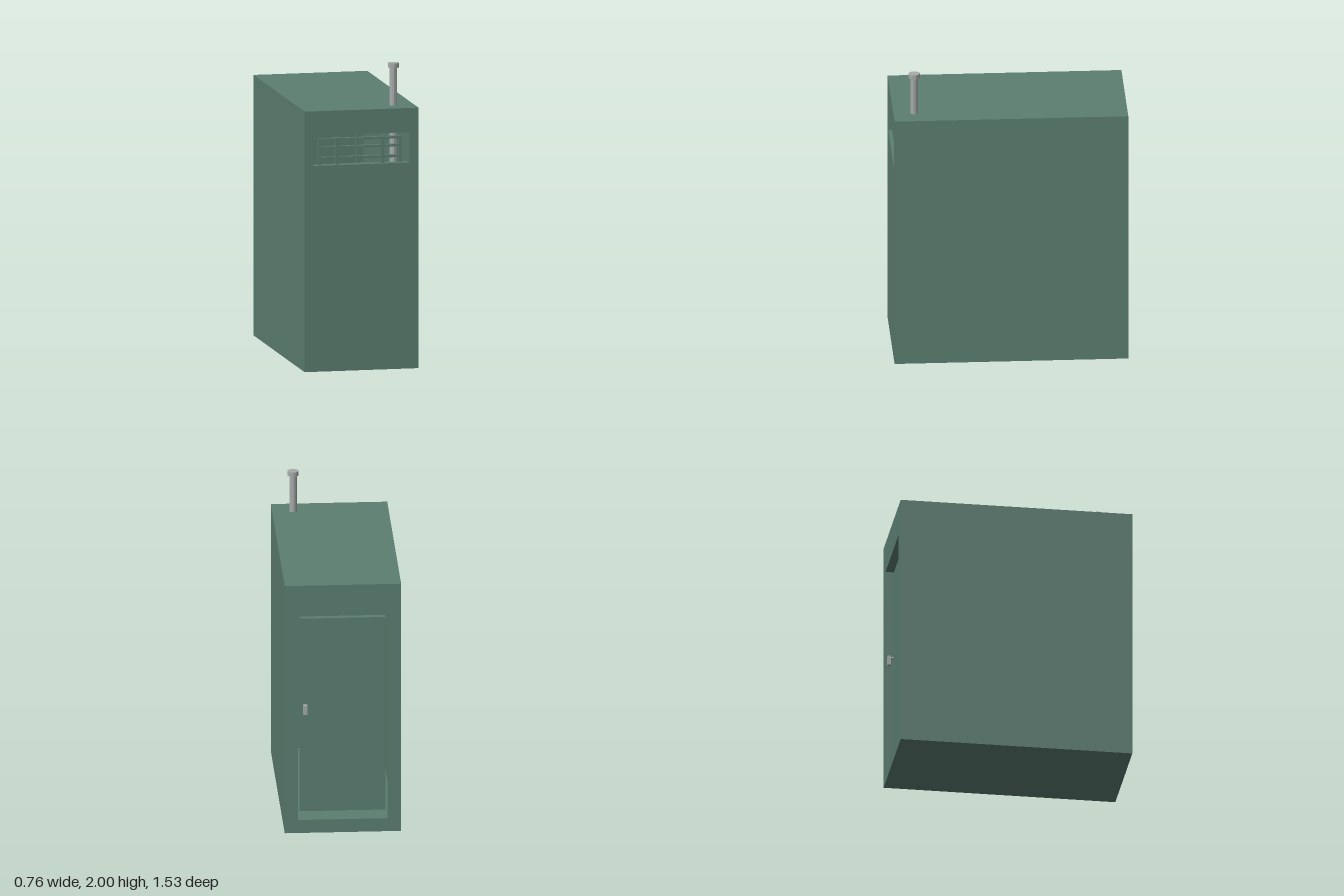
import * as THREE from 'three';

const green = new THREE.MeshStandardMaterial({ name: 'green paint', color: 0x5c7e71 });
const steel = new THREE.MeshStandardMaterial({ name: 'grey steel', color: 0xa6abaa });

const W = 0.38, H = 1.72, D = 0.763, T = 0.06; // half width, height, half depth, wall thickness

function add(parent, name, geometry, material, x = 0, y = 0, z = 0) {
  const mesh = new THREE.Mesh(geometry, material);
  mesh.name = name;
  mesh.position.set(x, y, z);
  parent.add(mesh);
  return mesh;
}

// Rectangular wall with one rectangular opening, extruded along z
function frame(hw, y0, y1, depth) {
  const shape = new THREE.Shape([[-W, 0], [W, 0], [W, H], [-W, H]].map(p => new THREE.Vector2(...p)));
  shape.holes.push(new THREE.Path([[-hw, y0], [-hw, y1], [hw, y1], [hw, y0]].map(p => new THREE.Vector2(...p))));
  return new THREE.ExtrudeGeometry(shape, { depth, bevelEnabled: false });
}

function cylinder(radius, height, sides) {
  const g = new THREE.CylinderGeometry(radius, radius, height, sides).toNonIndexed();
  g.computeVertexNormals();
  return g;
}

export function createModel() {
  const group = new THREE.Group();
  group.name = 'shelter';

  // Hollow cabin: front wall with vent, back wall with doorway, shell between
  add(group, 'frontWall', frame(0.32, 1.36, 1.56, T), green, 0, 0, D - T);
  add(group, 'backWall', frame(0.293, 0.09, 1.512, T), green, 0, 0, -D);
  add(group, 'shell', frame(W - 0.04, 0.04, H - 0.04, 2 * (D - T)), green, 0, 0, T - D);

  // Vent grille set back in its opening
  const grille = new THREE.Group();
  grille.name = 'ventGrille';
  group.add(grille);
  for (const x of [-0.271, -0.155, 0.15, 0.267]) {
    add(grille, 'verticalBar', new THREE.BoxGeometry(0.02, 0.175, 0.03), green, x, 1.4475, D - 0.04);
  }
  for (const y of [1.402, 1.472, 1.525]) {
    add(grille, 'horizontalBar', new THREE.BoxGeometry(0.55, 0.016, 0.026), green, 0, y, D - 0.04);
  }

  // Door with a small clearance all round
  add(group, 'door', new THREE.BoxGeometry(0.56, 1.34, 0.04), green, 0, 0.805, -D + 0.063);

  // Door handle
  const stub = add(group, 'handleStub', cylinder(0.01, 0.04, 8), steel, 0.245, 0.87, -D + 0.028);
  stub.rotation.x = Math.PI / 2;
  add(group, 'handleGrip', new THREE.BoxGeometry(0.028, 0.065, 0.02), steel, 0.245, 0.85, -D + 0.015);

  // Chimney pipe passing through the roof
  add(group, 'chimneyPipe', cylinder(0.025, 0.78, 10), steel, 0.243, 1.59, 0.627);
  add(group, 'chimneyCap', cylinder(0.037, 0.03, 10), steel, 0.243, 1.985, 0.627);

  return group;
}
